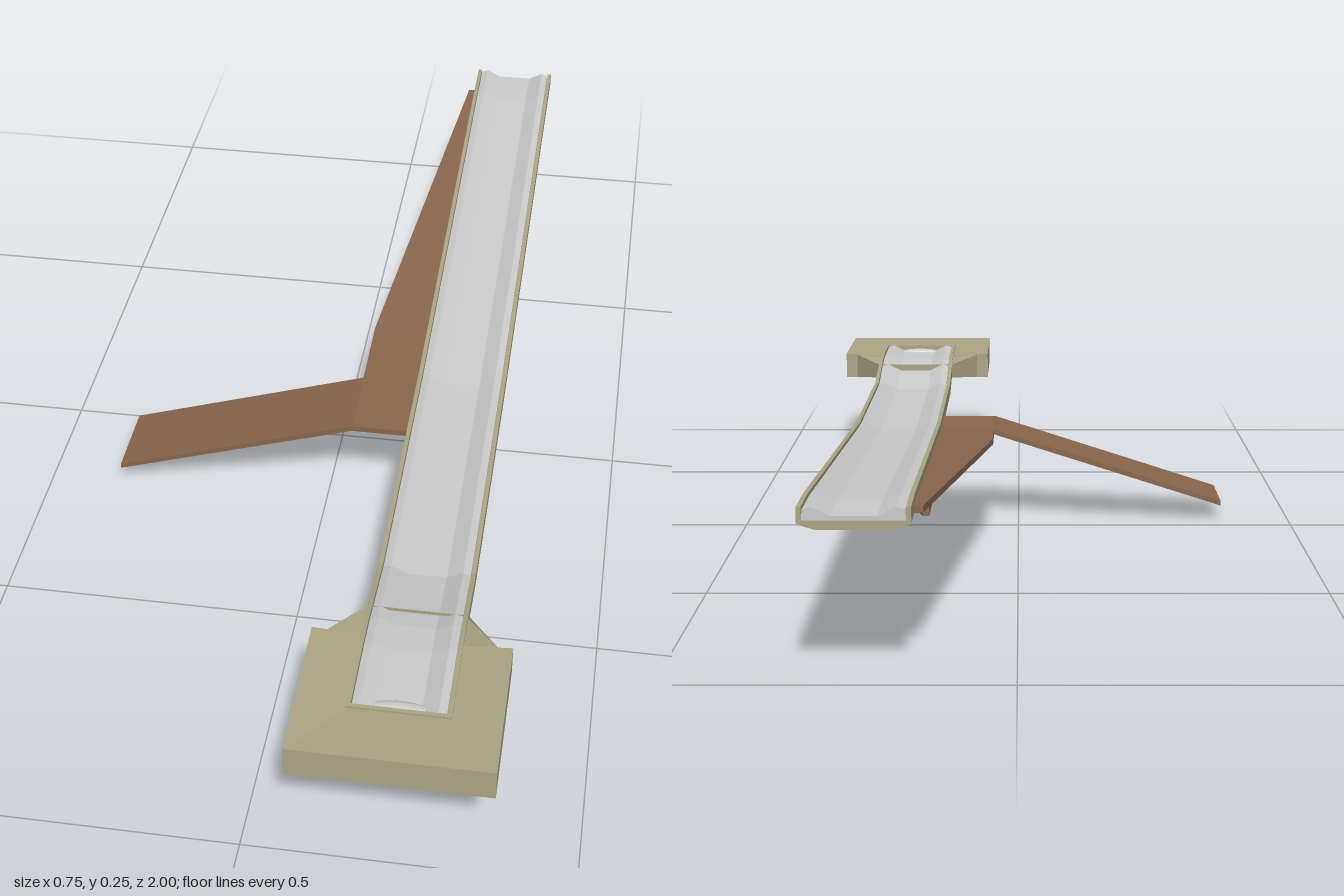
import * as THREE from 'three';

const CX = 0.221; // centre line of the trough
const OLIVE = 0xaca585, BROWN = 0x8a664d, GREY = 0xcccccc;
const V = (x, y, z) => new THREE.Vector3(x, y, z);

function part(name, geometry, color) {
  const m = new THREE.Mesh(geometry, new THREE.MeshStandardMaterial({ color, flatShading: true }));
  m.name = name;
  return m;
}

// Skins a series of closed rings with flat faces; caps are triangulated in XY.
function loft(rings, capped = true) {
  const pts = [];
  const n = rings[0].length;
  for (let k = 0; k < rings.length - 1; k++) {
    const a = rings[k], b = rings[k + 1];
    for (let i = 0; i < n; i++) {
      const j = (i + 1) % n;
      pts.push(a[i], a[j], b[j], a[i], b[j], b[i]);
    }
  }
  if (capped) {
    const first = rings[0], last = rings[rings.length - 1];
    const flat = last.map(p => new THREE.Vector2(p.x, p.y));
    for (const [a, b, c] of THREE.ShapeUtils.triangulateShape(flat, [])) {
      pts.push(last[a], last[b], last[c], first[a], first[c], first[b]);
    }
  }
  const g = new THREE.BufferGeometry().setFromPoints(pts);
  g.computeVertexNormals();
  return g;
}

// Carries a cross-section [x, height] along a path of [z, y].
const sweep = (profile, path) =>
  loft(path.map(([z, y]) => profile.map(([x, dy]) => V(CX + x, y + dy, z))));

const mirrored = half => [...half, ...half.slice().reverse().map(([x, y]) => [-x, y])];

// I-section support with chamfered flanges and a top plate
function pillar(name, z, halfDepth, height) {
  const g = new THREE.Group();
  g.name = name;
  const W = 0.054, D = halfDepth, web = D * 0.5;
  const q = [[W, D], [W - 0.013, D], [W - 0.019, web]];
  const outline = [
    ...q.map(([x, y]) => [x, y]),
    ...q.slice().reverse().map(([x, y]) => [-x, y]),
    ...q.map(([x, y]) => [-x, -y]),
    ...q.slice().reverse().map(([x, y]) => [x, -y]),
  ].map(([x, y]) => new THREE.Vector2(x, y));
  const column = new THREE.ExtrudeGeometry(new THREE.Shape(outline), { depth: height - 0.01, bevelEnabled: false });
  column.rotateX(-Math.PI / 2);
  const plate = part('pillarTopPlate', new THREE.BoxGeometry(2 * W, 0.012, 2 * D), BROWN);
  plate.position.y = height - 0.006;
  g.add(part('pillarColumn', column, BROWN), plate);
  g.position.set(CX, 0, z);
  return g;
}

export function createModel() {
  const model = new THREE.Group();
  model.name = 'slideway';

  // Trough: outer shell and channel bed following the same path
  const path = [[-1, 0.25], [-0.9, 0.248], [0.04, 0.184], [0.55, 0.179], [0.7, 0.206], [0.76, 0.211]];
  const shell = mirrored([[0.053, -0.032], [0.078, -0.024], [0.078, 0], [0.071, 0], [0.071, -0.019]]);
  const bed = mirrored([[0.071, -0.019], [0.07, -0.004], [0.058, 0], [0.032, -0.013]]);
  model.add(part('troughShell', sweep(shell, [...path, [0.9, 0.211]]), OLIVE));
  model.add(part('troughBed', sweep(bed, [...path, [0.893, 0.211]]), GREY));

  const endWall = part('troughEndWall', new THREE.BoxGeometry(0.142, 0.021, 0.007), OLIVE);
  endWall.position.set(CX, 0.2, 0.8965);
  model.add(endWall);

  const endLip = part('troughEndLip', new THREE.SphereGeometry(1, 16, 6, 0, Math.PI * 2, 0, Math.PI / 2), GREY);
  endLip.scale.set(0.045, 0.008, 0.014);
  endLip.position.set(CX, 0.197, 0.88);
  model.add(endLip);

  // Head platform: flat underside, vertical sides, top dipping to the trough.
  // Each corner: outer x, outer z, bottom y, top y, inner z
  const right = [
    [0.153, 1, 0.162, 0.213, 0.9],
    [0.153, 0.745, 0.162, 0.213, 0.745],
    [0.13, 0.745, 0.162, 0.211, 0.745],
    [0.078, 0.67, 0.172, 0.2, 0.67],
  ];
  const corners = [...right, ...right.slice().reverse().map(([x, ...r]) => [-x, ...r])];
  const platform = loft([
    corners.map(([, z, b]) => V(CX, b, z)),
    corners.map(([x, z, b]) => V(CX + x, b, z)),
    corners.map(([x, z, , t]) => V(CX + x, t, z)),
    corners.map(([x, , , t, iz]) => V(CX + Math.sign(x) * 0.077, t - 0.006, iz)),
  ], false);
  model.add(part('headPlatform', platform, OLIVE));

  // Side ramp sloping down to the ground
  const rampShape = new THREE.Shape([
    [-0.375, 0.027], [0.045, 0.161], [0.148, 0.161], [0.148, 0.171], [0.045, 0.171], [-0.375, 0.036],
  ].map(p => new THREE.Vector2(...p)));
  const ramp = new THREE.ExtrudeGeometry(rampShape, { depth: 0.145, bevelEnabled: false });
  ramp.translate(0, 0, 0.045);
  model.add(part('sideRamp', ramp, BROWN));

  // Tapering walkway climbing beside the trough: z, outer x, top y
  const walkway = [[-0.93, 0.13, 0.237], [-0.1, 0.045, 0.179], [0.045, 0.045, 0.171]];
  model.add(part('sideWalkway', loft(walkway.map(([z, x, y]) =>
    [V(x, y - 0.01, z), V(0.148, y - 0.01, z), V(0.148, y, z), V(x, y, z)])), BROWN));

  model.add(pillar('frontPillar', 0.745, 0.04, 0.163));
  model.add(pillar('middlePillar', 0.128, 0.053, 0.152));
  return model;
}
